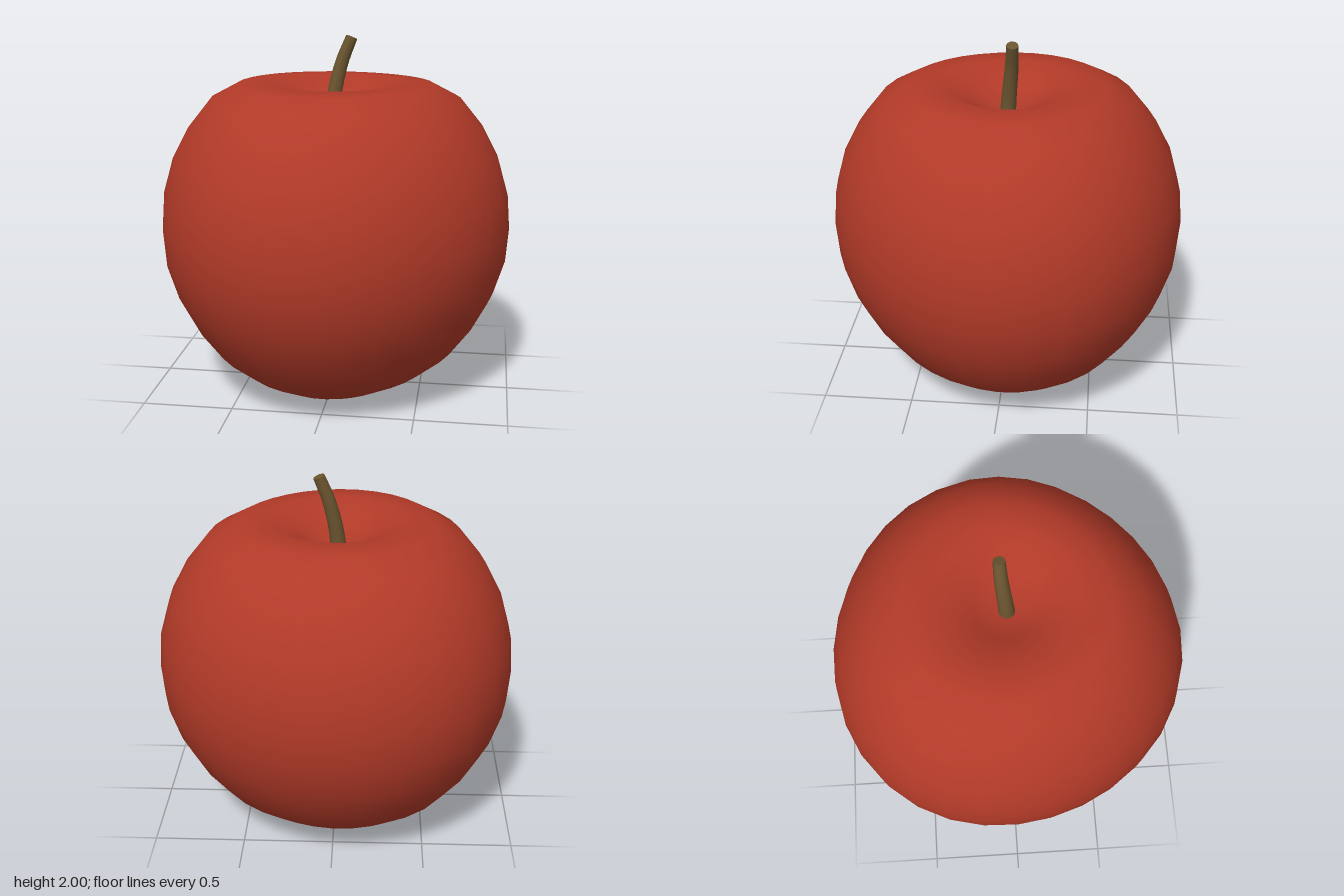
import * as THREE from 'three';
import { mergeVertices } from 'three/addons/utils/BufferGeometryUtils.js';

const skin = new THREE.MeshStandardMaterial({ color: 0xb23a28 });
skin.name = 'red skin';
const wood = new THREE.MeshStandardMaterial({ color: 0x6b5530 });
wood.name = 'brown wood';

function addMesh(group, name, geometry, material) {
  const mesh = new THREE.Mesh(geometry, material);
  mesh.name = name;
  group.add(mesh);
  return mesh;
}

// Fruit body: lathe with a dimple at each pole and a slightly uneven girth
function bodyGeometry() {
  const profile = [
    [0, 0.07], [0.19, 0.0], [0.37, 0.03], [0.54, 0.12], [0.69, 0.24], [0.81, 0.4],
    [0.9, 0.57], [0.96, 0.76], [0.975, 0.95], [0.96, 1.14], [0.905, 1.33], [0.815, 1.5],
    [0.69, 1.655], [0.54, 1.735], [0.37, 1.745], [0.19, 1.655], [0, 1.56],
  ].map(([r, y]) => new THREE.Vector2(r, y));
  let geometry = new THREE.LatheGeometry(profile, 32);
  const pos = geometry.attributes.position;
  for (let i = 0; i < pos.count; i++) {
    const x = pos.getX(i), z = pos.getZ(i);
    const a = Math.atan2(z, x);
    const k = 1 - 0.014 * (Math.cos(a) - Math.cos(3 * a) + Math.sin(a) + Math.sin(3 * a));
    pos.setX(i, x * k);
    pos.setZ(i, z * k);
  }
  // weld the seam so the shading is smooth all round
  geometry.deleteAttribute('uv');
  geometry.deleteAttribute('normal');
  geometry = mergeVertices(geometry, 1e-4);
  geometry.computeVertexNormals();
  return geometry;
}

// Stem: tapered cylinder bent along a curve
function stemGeometry() {
  const curve = new THREE.CatmullRomCurve3([
    new THREE.Vector3(-0.02, 1.5, 0.0),
    new THREE.Vector3(-0.003, 1.68, -0.012),
    new THREE.Vector3(0.035, 1.85, -0.028),
    new THREE.Vector3(0.088, 1.987, -0.036),
  ]);
  const geometry = new THREE.CylinderGeometry(0.032, 0.045, 1, 12, 10);
  const pos = geometry.attributes.position;
  const up = new THREE.Vector3(0, 1, 0);
  const turn = new THREE.Quaternion();
  const v = new THREE.Vector3();
  for (let i = 0; i < pos.count; i++) {
    const t = THREE.MathUtils.clamp(pos.getY(i) + 0.5, 0, 1);
    turn.setFromUnitVectors(up, curve.getTangent(t));
    v.set(pos.getX(i), 0, pos.getZ(i)).applyQuaternion(turn).add(curve.getPoint(t));
    pos.setXYZ(i, v.x, v.y, v.z);
  }
  geometry.computeVertexNormals();
  return geometry;
}

export function createModel() {
  const group = new THREE.Group();
  group.name = 'apple';
  addMesh(group, 'body', bodyGeometry(), skin);
  addMesh(group, 'stem', stemGeometry(), wood);
  // Dried blossom end in the lower dimple
  const calyx = addMesh(group, 'calyx', new THREE.SphereGeometry(0.045, 12, 8), wood);
  calyx.scale.y = 0.6;
  calyx.position.y = 0.07;
  return group;
}
